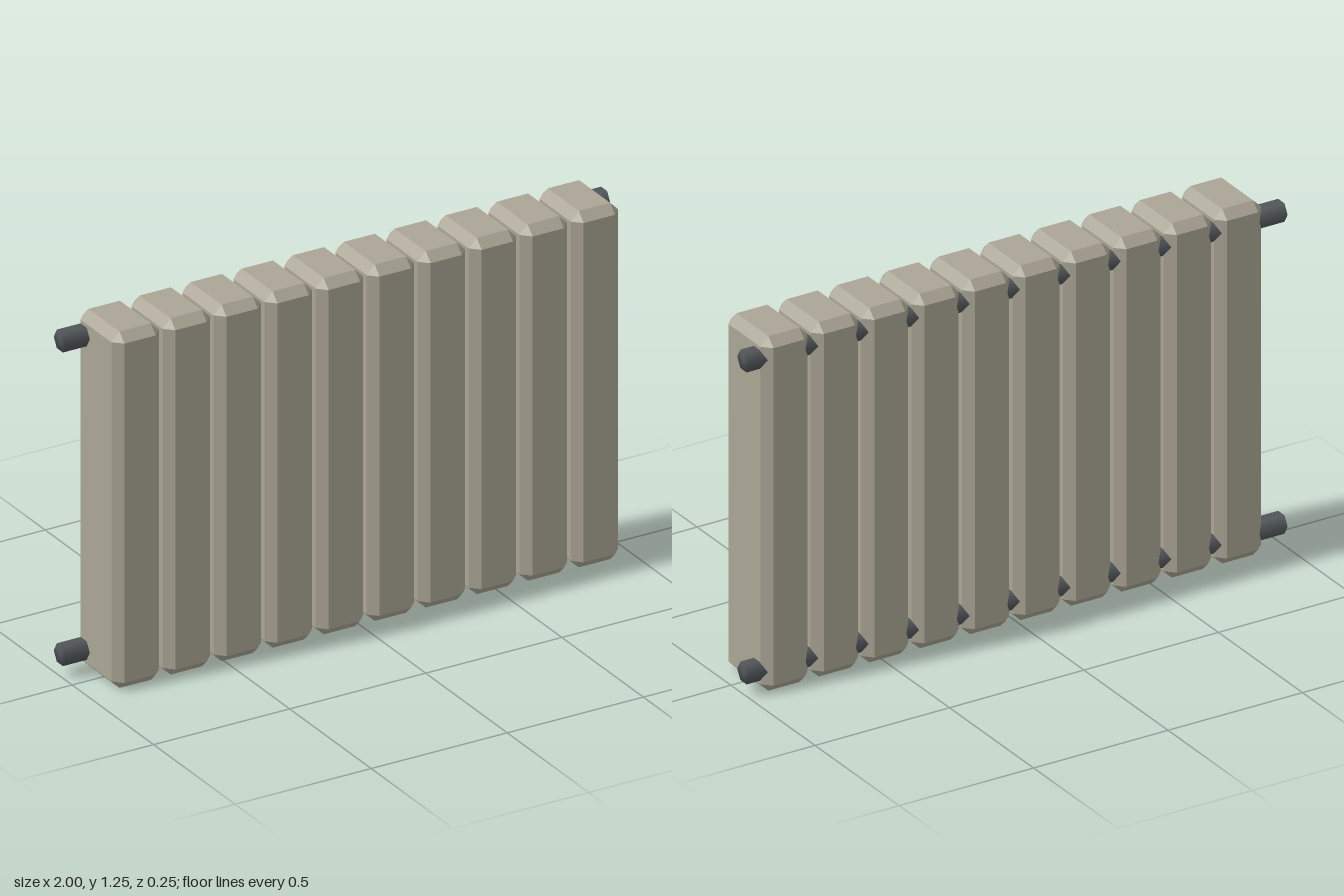
import * as THREE from 'three';
import { mergeVertices } from 'three/addons/utils/BufferGeometryUtils.js';
import { ConvexGeometry } from 'three/addons/geometries/ConvexGeometry.js';

// Box with every edge chamfered by c, flat faces
function chamferedBox(w, h, d, c) {
  const points = [];
  for (const sx of [-1, 1]) for (const sy of [-1, 1]) for (const sz of [-1, 1]) {
    for (let flush = 0; flush < 3; flush++) {
      const p = [w, h, d].map((size, axis) => size / 2 - (axis === flush ? 0 : c));
      points.push(new THREE.Vector3(sx * p[0], sy * p[1], sz * p[2]));
    }
  }
  return new ConvexGeometry(points);
}

// Six-sided pipe along x, with normals blended over sides and ends
function hexPipe(radius, length) {
  let geo = new THREE.CylinderGeometry(radius, radius, length, 6);
  geo.rotateZ(Math.PI / 2);
  geo.deleteAttribute('normal');
  geo.deleteAttribute('uv');
  geo = mergeVertices(geo);
  geo.computeVertexNormals();
  return geo;
}

export function createModel() {
  const group = new THREE.Group();
  group.name = 'radiator';

  const enamel = new THREE.MeshStandardMaterial({ color: 0xaaa595 });
  enamel.name = 'warm grey enamel';
  const iron = new THREE.MeshStandardMaterial({ color: 0x55595c });
  iron.name = 'dark iron';

  // Ten upright column sections
  const sectionGeo = chamferedBox(0.175, 1.25, 0.25, 0.03);
  for (let i = 0; i < 10; i++) {
    const section = new THREE.Mesh(sectionGeo, enamel);
    section.name = `section${i + 1}`;
    section.position.set(-0.825 + i * 0.1875, 0.625, 0);
    group.add(section);
  }

  // Pipes running through all sections near the back
  const pipeGeo = hexPipe(0.0375, 2);
  for (const [name, y] of [['lowerPipe', 0.075], ['upperPipe', 1.175]]) {
    const pipe = new THREE.Mesh(pipeGeo, iron);
    pipe.name = name;
    pipe.position.set(0, y, -0.075);
    group.add(pipe);
  }

  return group;
}
